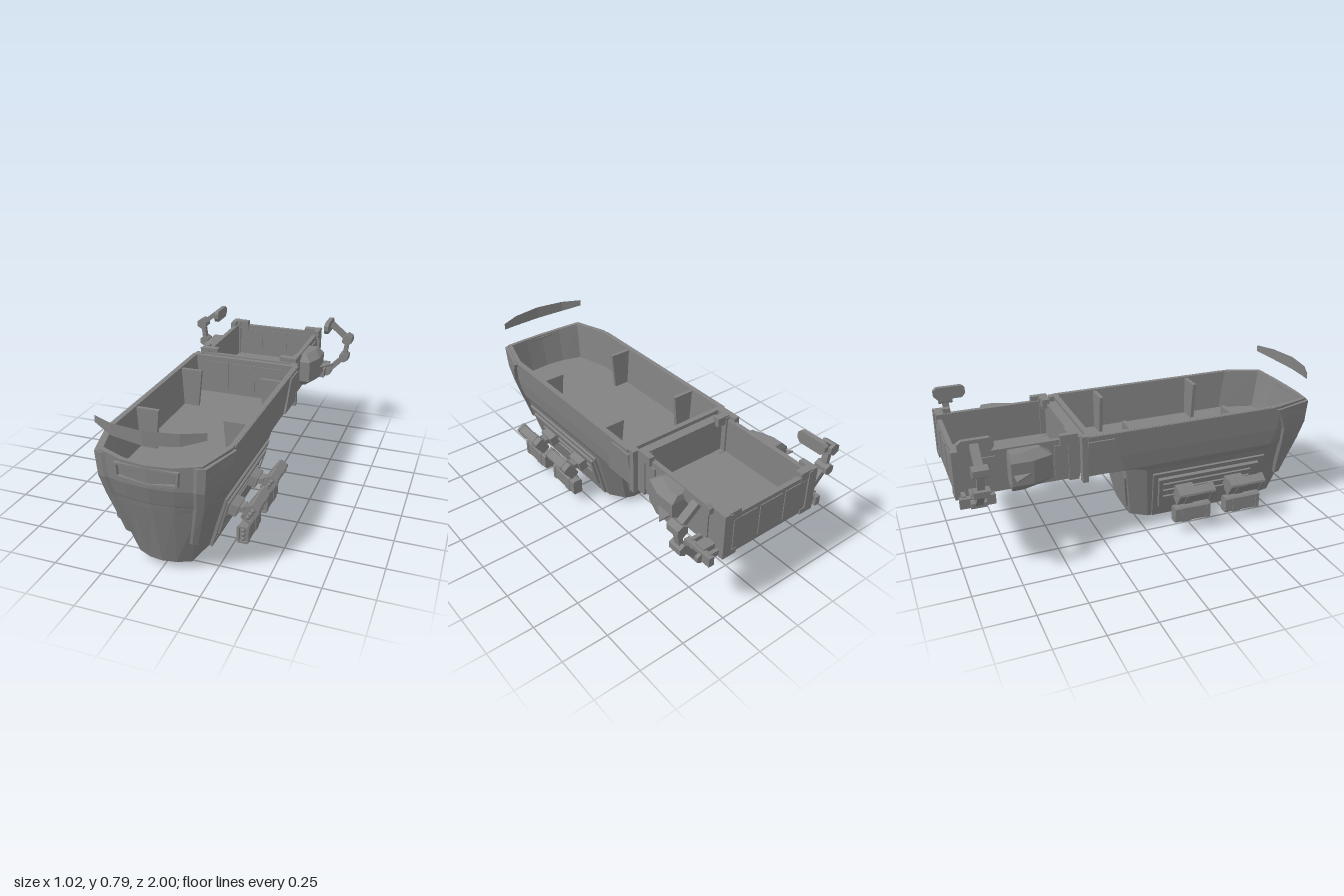
import * as THREE from 'three';

const mat = new THREE.MeshStandardMaterial({ color: 0x828282, flatShading: true });
const thin = new THREE.MeshStandardMaterial({ color: 0x828282, flatShading: true, side: THREE.DoubleSide });

function add(parent, name, geo, x = 0, y = 0, z = 0, rx = 0, ry = 0, rz = 0) {
  const m = new THREE.Mesh(geo, mat);
  m.name = name;
  m.position.set(x, y, z);
  m.rotation.set(rx, ry, rz);
  parent.add(m);
  return m;
}
const box = (w, h, d) => new THREE.BoxGeometry(w, h, d);

// Closed loft through rings of [x, y, z], counter-clockwise seen from above
function loft(rings) {
  const n = rings[0].length, pos = rings.flat(2), idx = [];
  for (let j = 0; j < rings.length - 1; j++)
    for (let i = 0; i < n; i++) {
      const k = (i + 1) % n, a = j * n + i, b = j * n + k;
      idx.push(a, b, b + n, a, b + n, a + n);
    }
  [0, rings.length - 1].forEach((j, top) => {
    const c = [0, 1, 2].map(q => rings[j].reduce((s, p) => s + p[q], 0) / n);
    const ci = pos.length / 3;
    pos.push(...c);
    for (let i = 0; i < n; i++) {
      const a = j * n + i, b = j * n + (i + 1) % n;
      idx.push(ci, top ? a : b, top ? b : a);
    }
  });
  const g = new THREE.BufferGeometry();
  g.setAttribute('position', new THREE.Float32BufferAttribute(pos, 3));
  g.setIndex(idx);
  g.computeVertexNormals();
  return g;
}

// Extruded outline with optional hole
function plate(pts, depth, hole) {
  const s = new THREE.Shape(pts.map(p => new THREE.Vector2(...p)));
  if (hole) s.holes.push(new THREE.Path(hole.map(p => new THREE.Vector2(...p))));
  return new THREE.ExtrudeGeometry(s, { depth, bevelEnabled: false });
}
// Same, outline in (z, y), growing towards +x
const sidePlate = (pts, d, hole) => plate(pts, d, hole).rotateY(-Math.PI / 2).translate(d, 0, 0);
// Rectangle outline with cut corners
const cutRect = (w, h, c) => [[c - w, -h], [w - c, -h], [w, c - h], [w, h - c], [w - c, h], [c - w, h], [-w, h - c], [-w, c - h]];

// Bar between two points of the xy plane
function bar(parent, name, a, b, z, w, d) {
  const dx = b[0] - a[0], dy = b[1] - a[1];
  add(parent, name, box(Math.hypot(dx, dy), w, d), (a[0] + b[0]) / 2, (a[1] + b[1]) / 2, z, 0, 0, Math.atan2(dy, dx));
}

// Mirrored copy across x = 0 with corrected winding
function mirrored(group) {
  const out = new THREE.Group();
  out.name = group.name.replace('left', 'right');
  group.updateMatrixWorld(true);
  group.traverse(o => {
    if (!o.isMesh) return;
    const g = o.geometry.index ? o.geometry.toNonIndexed() : o.geometry.clone();
    g.applyMatrix4(o.matrixWorld).applyMatrix4(new THREE.Matrix4().makeScale(-1, 1, 1));
    const p = g.attributes.position, v = new THREE.Vector3(), w = new THREE.Vector3();
    for (let i = 0; i < p.count; i += 3) {
      v.fromBufferAttribute(p, i + 1);
      w.fromBufferAttribute(p, i + 2);
      p.setXYZ(i + 1, w.x, w.y, w.z);
      p.setXYZ(i + 2, v.x, v.y, v.z);
    }
    g.computeVertexNormals();
    add(out, o.name, g);
  });
  return out;
}

// Hull levels: y, half width, front z, back z, rear corner bevel
const LEVELS = [
  [0, .08, .72, -.02, .06], [.04, .17, .855, -.04, .08], [.375, .268, .945, -.1, .09],
  [.405, .284, .952, -.15, .06], [.412, .287, .955, -.342, .004], [.5, .3, .98, -.342, .004], [.64, .312, .986, -.342, .004]];

// Half outline of one level, from the nose round to the rear
const half = ([y, w, zf, zb, b], dip = 0) => [
  [0, y - dip, zf], [.4 * w, y - dip * .8, zf - .01], [.8 * w, y - dip * .2, zf - .042],
  [w, y, zf - .24], [w, y, zb + b], [w - b * .7, y, zb]];
function ring(level, dip) {
  const h = half(level, dip);
  return [...h, ...h.slice(1).reverse().map(([x, y, z]) => [-x, y, z])];
}
// Point on the hull at outline position s and height y
function hullPoint(s, y, out) {
  let j = 0;
  while (j < LEVELS.length - 2 && LEVELS[j + 1][0] < y) j++;
  const t = (y - LEVELS[j][0]) / (LEVELS[j + 1][0] - LEVELS[j][0]);
  const h = half(LEVELS[j].map((v, q) => v + (LEVELS[j + 1][q] - v) * t));
  const i = Math.min(Math.floor(s), 4), f = s - i;
  return [h[i][0] + (h[i + 1][0] - h[i][0]) * f + out, y, h[i][2] + (h[i + 1][2] - h[i][2]) * f + out * .3];
}

export function createModel() {
  const model = new THREE.Group();

  // Open hull: outer skin, rim, inner skin, floor
  const rim = [.64, .29, .966, -.315, .004], floor = [.42, .276, .93, -.315, .004];
  add(model, 'hull', loft([...LEVELS.slice(0, 6).map(l => ring(l)), ring(LEVELS[6], .025), ring(rim, .025), ring(floor)]));

  // Nose intake frame
  add(model, 'noseFrame', plate([[-.155, .605], [-.148, .53], [0, .513], [.148, .53], [.155, .605]], .03,
    [[-.142, .595], [-.138, .541], [0, .525], [.138, .541], [.142, .595]]), 0, 0, .957);

  // Rear belly panel
  const belly = new THREE.Group();
  belly.name = 'rearBellyPanel';
  belly.position.set(0, .205, -.07);
  belly.rotation.x = -.18;
  add(belly, 'bellyPlate', plate([[-.09, -.13], [.09, -.13], [.165, .09], [.14, .14], [-.14, .14], [-.165, .09]], .02), 0, 0, -.01);
  model.add(belly);

  // Curved visor above the nose
  const vp = [];
  const cols = [[-.265, .752, .925], [-.16, .727, .975], [0, .717, 1], [.16, .727, .975], [.265, .752, .925]];
  for (const [x, y, z] of cols) vp.push(x, y, z, x, .787, z);
  const vg = new THREE.BufferGeometry();
  vg.setAttribute('position', new THREE.Float32BufferAttribute(vp, 3));
  vg.setIndex([0, 2, 4, 6].flatMap(i => [i, i + 2, i + 3, i, i + 3, i + 1]));
  vg.computeVertexNormals();
  add(model, 'visor', vg).material = thin;

  // Rear cargo box
  add(model, 'cargoFloor', box(.54, .025, .61), 0, .425, -.68);
  add(model, 'cargoBackWall', box(.55, .22, .025), 0, .523, -.98);
  add(model, 'cargoFrontWall', box(.55, .22, .025), 0, .523, -.392);
  add(model, 'couplingPlate', box(.5, .2, .05), 0, .52, -.36);
  for (const x of [-.16, 0, .16]) {
    add(model, 'backPanel', box(.14, .17, .006), x, .525, -.994);
    add(model, 'innerBackPanel', box(.14, .16, .006), x, .53, -.966);
    add(model, 'bulkheadPanel', box(.14, .16, .006), x, .53, -.313);
  }

  const left = new THREE.Group();
  left.name = 'leftSideParts';

  // Cheek panel wrapping the nose corner
  const cheek = [[.17, 2.15], [.22, 2.25], [.4, 2.6], [.5, 2.8], [.57, 2.95], [.625, 3.02]].map(([y, s1]) => {
    const s = [1.7, 2, s1];
    return [...s.map(q => hullPoint(q, y, .018)), ...s.reverse().map(q => hullPoint(q, y, -.012))];
  });
  add(left, 'cheekPanel', loft(cheek));

  // Interior partition wings
  for (const z of [-.1, .47])
    add(left, 'partition', plate([[.19, .42], [.285, .42], [.297, .632], [.17, .632]], .02), 0, 0, z - .01);

  // Upper side panels
  const upper = new THREE.Group();
  upper.position.set(.29, .42, 0);
  upper.rotation.z = -.075;
  add(upper, 'rearSidePanel', sidePlate([[-.34, 0], [-.15, 0], [-.2, .19], [-.34, .19]], .012), .001);
  add(upper, 'rimStrip', box(.012, .012, 1.05), .006, .214, .19);
  left.add(upper);

  // Sloped lower flank with lamp frame
  const flank = new THREE.Group();
  flank.name = 'flank';
  flank.position.set(.219, .207, 0);
  flank.rotation.z = -.285;
  add(flank, 'flankFrame', sidePlate([[.675, -.165], [.06, -.165], [.03, .14], [.697, .14]], .016,
    [[.655, -.125], [.08, -.125], [.055, .115], [.675, .115]]), -.004);
  add(flank, 'lampFrame', sidePlate([[.64, -.105], [.09, -.105], [.065, .1], [.665, .1]], .024,
    [[.618, -.08], [.11, -.08], [.09, .078], [.64, .078]]), -.004);
  for (const y of [-.045, 0, .045]) add(flank, 'rail', box(.014, .015, .53), .004, y, .365);
  left.add(flank);

  // Floodlight pairs on brackets
  for (const z of [.22, .52]) {
    add(left, 'lampMount', box(.05, .06, .1), .25, .205, z, 0, 0, -.285);
    bar(left, 'lampBracket', [.25, .2], [.305, .205], z, .03, .06);
    bar(left, 'lampArm', [.295, .2], [.345, .235], z, .02, .04);
    bar(left, 'lampArm', [.297, .21], [.315, .13], z, .02, .04);
    for (const [x, y, r] of [[.36, .237, -.56], [.324, .115, 0]]) {
      const lamp = new THREE.Group();
      lamp.name = 'floodlight';
      lamp.position.set(x, y, z);
      lamp.rotation.z = r;
      add(lamp, 'lampBody', plate(cutRect(.028, .044, .008), .19), 0, 0, -.095);
      add(lamp, 'lampBand', plate(cutRect(.031, .047, .008), .05), 0, 0, -.055);
      add(lamp, 'lampBezel', plate(cutRect(.031, .047, .008), .02, cutRect(.019, .037, .004)), 0, 0, .09);
      for (const k of [-.024, 0, .024]) add(lamp, 'lens', new THREE.SphereGeometry(.012, 8, 6), 0, k, .102);
      left.add(lamp);
    }
  }

  // Cargo box side, corner posts and caps
  add(left, 'cargoSideWall', box(.025, .22, .6), .263, .523, -.683);
  for (const z of [-.84, -.46]) add(left, 'cargoSidePanel', box(.01, .16, .09), .278, .525, z);
  for (const [z, d] of [[-.975, 1], [-.41, -1]]) {
    add(left, 'cornerPost', box(.05, .24, .05), .265, .53, z);
    add(left, 'cornerCap', box(.1, .05, .04), .24, .633, z);
    add(left, 'cornerCap', box(.03, .05, .09), .275, .633, z + d * .02);
    add(left, 'cornerFoot', box(.08, .03, .05), .25, .425, z);
  }
  add(left, 'couplingPost', box(.04, .25, .03), .288, .515, -.355);

  // Side pod tapering forwards, with fin
  const pod = (x, y, z0, z1) => [[.27, y, z1], [x - .035, y, z1], [x, y, z1 - .1], [x, y, z0], [.27, y, z0]];
  add(left, 'sidePod', loft([pod(.335, .43, -.735, -.58), pod(.37, .47, -.74, -.53),
    pod(.37, .59, -.74, -.53), pod(.335, .625, -.735, -.58)]));
  add(left, 'podFin', plate([[.36, .73], [.435, .73], [.36, .63]], .008).rotateX(-Math.PI / 2), 0, .521, 0);

  // Jointed arm with end plate
  const z = -.905, joints = [[.365, .415, .025], [.465, .522, .03], [.48, .637, .033]];
  add(left, 'armBase', box(.03, .05, .17), .345, .42, z);
  add(left, 'armShoulder', box(.07, .035, .06), .31, .435, z);
  for (const s of [-1, 1]) add(left, 'armStrut', box(.06, .03, .02), .31, .435, z + s * .06);
  for (const [x, y, r] of joints)
    add(left, 'armJoint', new THREE.CylinderGeometry(r, r, .075, 6).rotateX(Math.PI / 2), x, y, z);
  bar(left, 'lowerArm', joints[0], joints[1], z, .03, .035);
  bar(left, 'foreArm', joints[1], joints[2], z, .025, .035);
  bar(left, 'wristArm', joints[2], [.375, .722], z, .028, .04);
  add(left, 'endPlate', sidePlate([[-.98, .7], [-.96, .678], [-.83, .678], [-.812, .7], [-.812, .73], [-.83, .745], [-.96, .745], [-.98, .73]], .025), .346);

  model.add(left, mirrored(left));
  return model;
}
